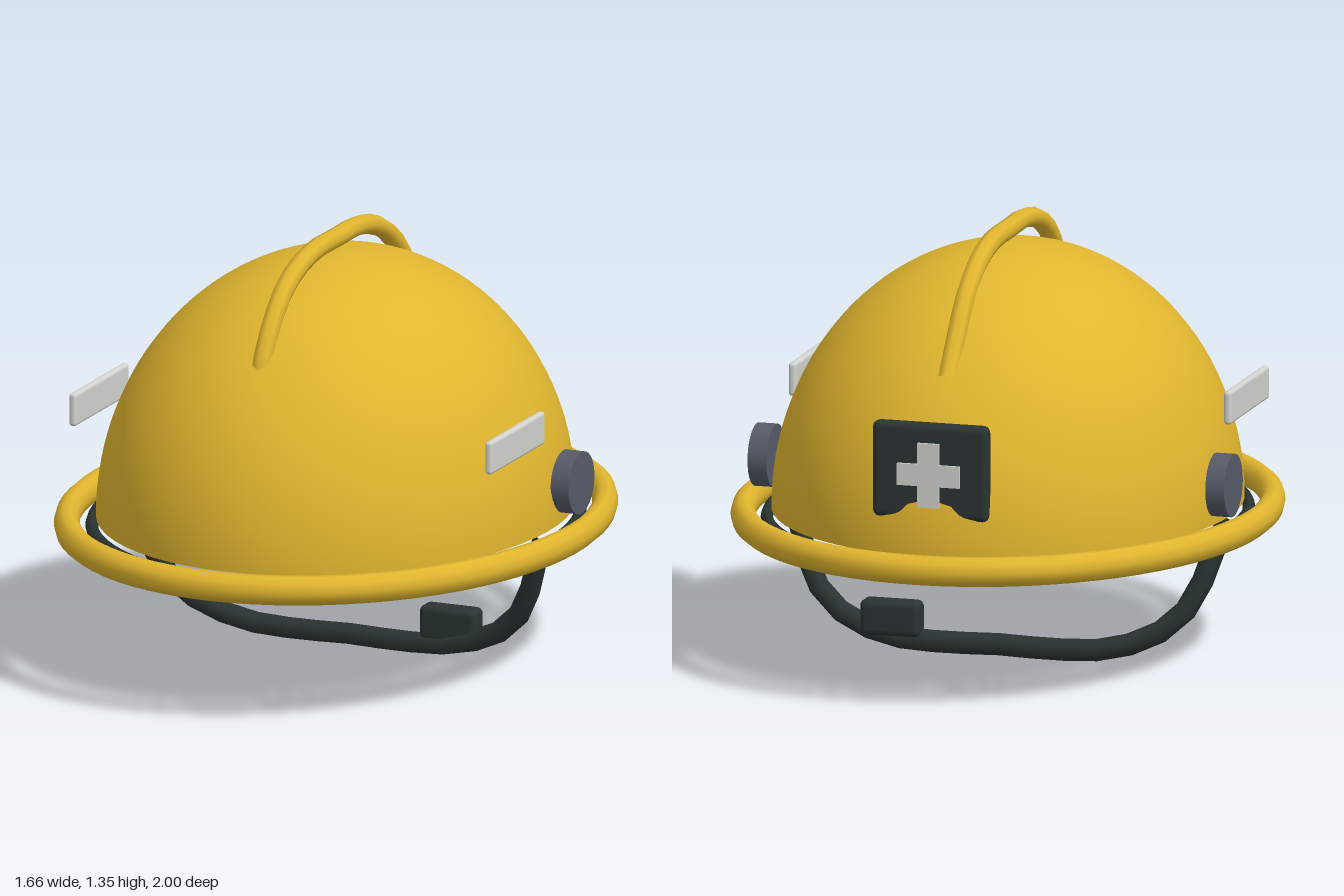
import * as THREE from 'three';
import { RoundedBoxGeometry } from 'three/addons/geometries/RoundedBoxGeometry.js';

const flat = (name, color, extra = {}) => {
  const m = new THREE.MeshStandardMaterial({ color, ...extra });
  m.name = name;
  return m;
};

export function createModel() {
  const yellow = flat('helmetYellow', 0xe0b52e, { side: THREE.DoubleSide });
  const dark = flat('strapDark', 0x2a3432);
  const slate = flat('slateGrey', 0x565b67);
  const silver = flat('reflectorSilver', 0xd2d3ce);

  const group = new THREE.Group();
  group.name = 'safetyHelmet';
  const add = (name, geometry, material, x = 0, y = 0, z = 0) => {
    const mesh = new THREE.Mesh(geometry, material);
    mesh.name = name;
    mesh.position.set(x, y, z);
    group.add(mesh);
    return mesh;
  };

  // Open shell: half an ellipsoid
  const shell = new THREE.SphereGeometry(1, 64, 32, 0, Math.PI * 2, 0, Math.PI / 2);
  shell.scale(0.71, 0.81, 0.835);
  add('shell', shell, yellow, 0, 0.47, 0);

  // Oval brim and the thin headband inside it
  const ovalRing = (radius, tube, xScale, sides) => {
    const g = new THREE.TorusGeometry(radius, tube, sides, 72);
    g.rotateX(Math.PI / 2);
    g.scale(xScale, 1, 1);
    return g;
  };
  add('brim', ovalRing(0.954, 0.046, 0.83, 10), yellow, 0, 0.455, 0);
  add('headband', ovalRing(0.84, 0.022, 0.862, 8), dark, 0, 0.437, 0);

  // Crest ridge, its ends running into the shell
  const crestPath = [
    [0.86, 0.57], [1.03, 0.565], [1.2, 0.45], [1.275, 0.34], [1.317, 0.18], [1.319, 0],
    [1.316, -0.17], [1.28, -0.31], [1.205, -0.435], [1.09, -0.54], [0.98, -0.63],
  ].map(([y, z]) => new THREE.Vector3(0, y, z));
  add('crestRidge', new THREE.TubeGeometry(new THREE.CatmullRomCurve3(crestPath), 22, 0.031, 8), yellow);

  // Chin strap, mirrored about the middle
  const half = [[0.7, 0.46, 0.01], [0.675, 0.4, -0.005], [0.615, 0.23, -0.045],
    [0.545, 0.135, -0.07], [0.38, 0.057, -0.095], [0.2, 0.04, -0.1]];
  const strapPath = [
    ...half.map(([x, y, z]) => new THREE.Vector3(-x, y, z)),
    new THREE.Vector3(0, 0.044, -0.1),
    ...half.slice().reverse().map(([x, y, z]) => new THREE.Vector3(x, y, z)),
  ];
  add('chinStrap', new THREE.TubeGeometry(new THREE.CatmullRomCurve3(strapPath), 18, 0.034, 8), dark);
  add('strapBuckle', new RoundedBoxGeometry(0.19, 0.11, 0.075, 3, 0.02), dark, 0.335, 0.11, -0.112);

  // Side pivots and reflector strips
  for (const [side, s] of [['left', 1], ['right', -1]]) {
    const disc = new THREE.CylinderGeometry(0.097, 0.097, 0.06, 32);
    disc.rotateZ(Math.PI / 2);
    add(side + 'Pivot', disc, slate, s * 0.73, 0.595, -0.133);
    add(side + 'Reflector', new RoundedBoxGeometry(0.025, 0.104, 0.405, 3, 0.011), silver, s * 0.694, 0.8, 0.217);
  }

  // Rear plate with a plain cross
  add('rearPlate', new RoundedBoxGeometry(0.37, 0.3, 0.05, 3, 0.022), dark, 0, 0.73, -0.79);
  const a = 0.1, b = 0.034;
  const cross = new THREE.Shape([[-b, -a], [b, -a], [b, -b], [a, -b], [a, b], [b, b], [b, a], [-b, a],
    [-b, b], [-a, b], [-a, -b], [-b, -b]].map(([x, y]) => new THREE.Vector2(x, y)));
  add('rearCross', new THREE.ExtrudeGeometry(cross, { depth: 0.009, bevelEnabled: false }), silver, 0, 0.722, -0.829);

  return group;
}
